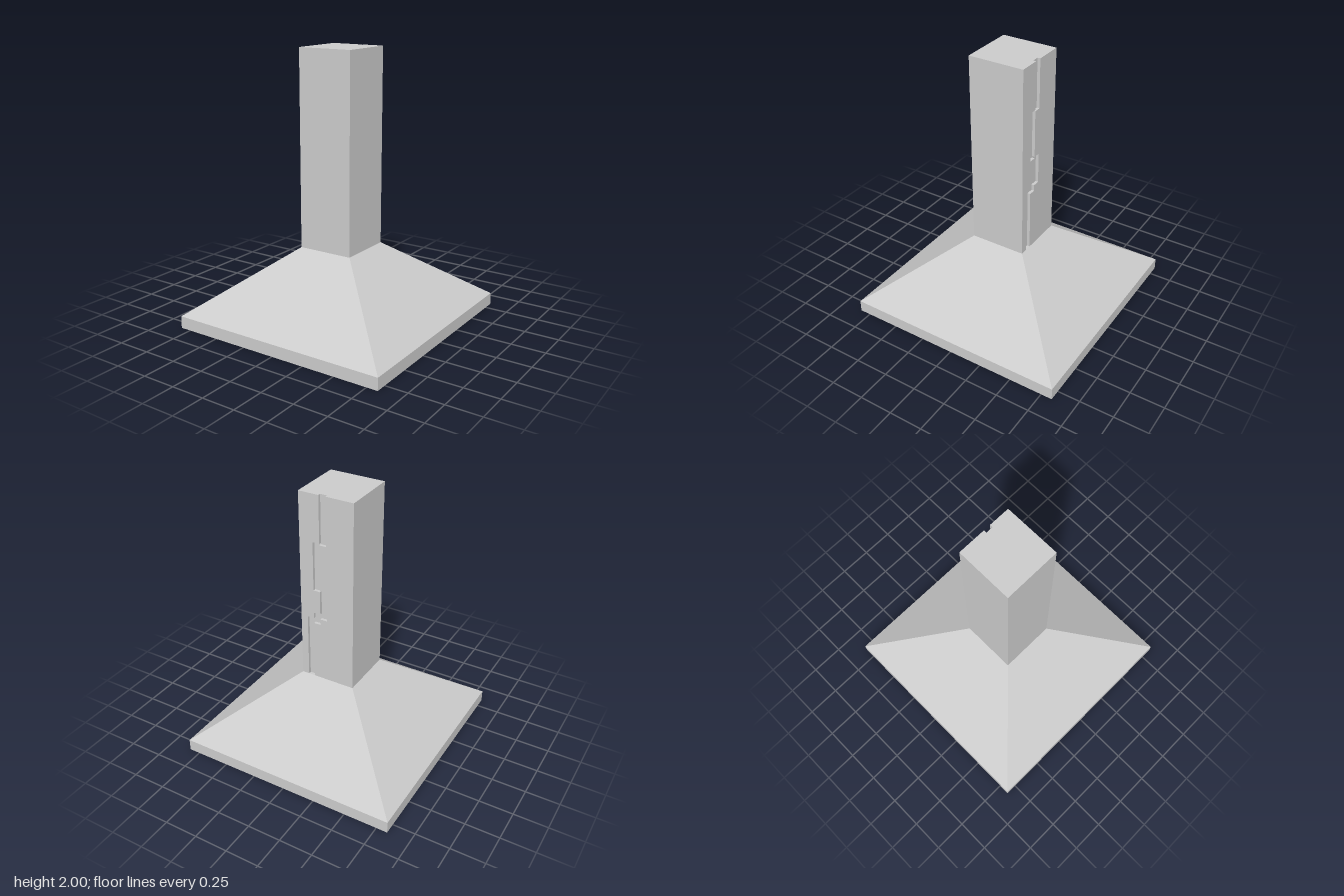
import * as THREE from 'three';

const BASE = 0.833, BASE_TOP = 0.09;   // half width and height of the base slab
const HALF = 0.209, NECK = 0.56, TOP = 2; // column half width, foot and top
const GROOVE = 0.022;                  // depth of the groove in the back

export function createModel() {
  const group = new THREE.Group();
  const material = new THREE.MeshStandardMaterial({ color: 0xcccccc, flatShading: true });

  const add = (name, geometry, x, y, z) => {
    const mesh = new THREE.Mesh(geometry, material);
    mesh.name = name;
    mesh.position.set(x, y, z);
    group.add(mesh);
  };

  // Square base slab
  add('baseSlab', new THREE.BoxGeometry(2 * BASE, BASE_TOP, 2 * BASE), 0, BASE_TOP / 2, 0);

  // Sloping four-sided skirt
  const skirt = new THREE.CylinderGeometry(HALF * Math.SQRT2, BASE * Math.SQRT2, NECK - BASE_TOP, 4);
  skirt.rotateY(Math.PI / 4);
  add('slopedSkirt', skirt, 0, (NECK + BASE_TOP) / 2, 0);

  // Column core, stopping at the floor of the groove
  add('column', new THREE.BoxGeometry(2 * HALF, TOP - NECK, 2 * HALF - GROOVE), 0, (TOP + NECK) / 2, GROOVE / 2);

  // Back layer of the column, split in two by the stepped groove
  const leftEdge = [
    [0.053, TOP], [0.053, 1.65], [0.105, 1.65], [0.105, 1.28], [0.053, 1.28],
    [0.053, 1.1], [0.105, 1.1], [0.105, 1.055], [0.157, 1.055], [0.157, NECK],
  ];
  const rightEdge = [
    [0, TOP], [0, 1.64], [0.053, 1.64], [0.053, 1.29], [0, 1.29],
    [0, 1.06], [0.053, 1.06], [0.053, 1.015], [0.105, 1.015], [0.105, NECK],
  ];
  const addBackPanel = (name, edge, side) => {
    const outline = [...edge, [side, NECK], [side, TOP]].map(([x, y]) => new THREE.Vector2(x, y));
    const panel = new THREE.ExtrudeGeometry(new THREE.Shape(outline), { depth: GROOVE, bevelEnabled: false });
    add(name, panel, 0, 0, -HALF);
  };
  addBackPanel('backPanelLeft', leftEdge, HALF);
  addBackPanel('backPanelRight', rightEdge, -HALF);

  return group;
}
